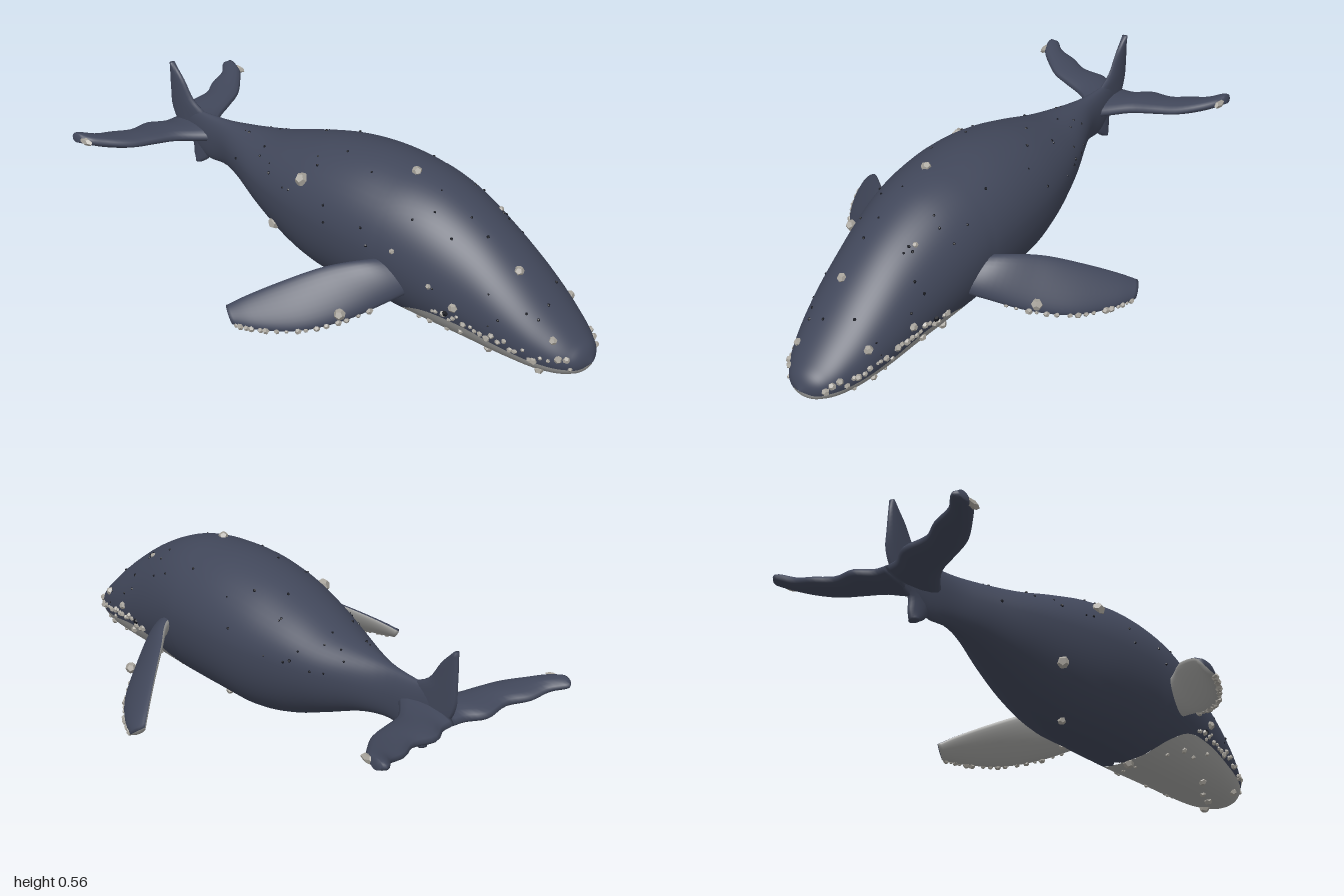
import * as THREE from 'three';
import { mergeGeometries, mergeVertices } from 'three/addons/utils/BufferGeometryUtils.js';

const mat = (name, color) => Object.assign(new THREE.MeshStandardMaterial({ color }), { name });
const V = (x, y, z) => new THREE.Vector3(x, y, z);
const lerp = THREE.MathUtils.lerp;

// Seeded random numbers
let seed = 7;
const rnd = () => (seed = (seed * 16807) % 2147483647) / 2147483647;

// Smooth skin through a list of rings of points
function loft(rings) {
  const n = rings[0].length, idx = [];
  for (let i = 0; i < rings.length - 1; i++) {
    for (let j = 0; j < n - 1; j++) {
      const a = i * n + j, b = a + n;
      idx.push(a, b, a + 1, b, b + 1, a + 1);
    }
  }
  const g = new THREE.BufferGeometry().setFromPoints(rings.flat());
  g.setIndex(idx);
  const merged = mergeVertices(g, 1e-5);
  merged.computeVertexNormals();
  return merged;
}

// Body stations: x, then top, bottom, half width, height of widest point, mouth line
const stations = [
  [-0.80, 0.40, 0.27, 0.012, 0.33, 0.27],
  [-0.70, 0.40, 0.215, 0.026, 0.32, 0.215],
  [-0.60, 0.405, 0.22, 0.042, 0.32, 0.22],
  [-0.50, 0.417, 0.20, 0.08, 0.32, 0.20],
  [-0.35, 0.443, 0.135, 0.143, 0.32, 0.135],
  [-0.20, 0.49, 0.07, 0.19, 0.32, 0.07],
  [-0.05, 0.532, 0.032, 0.222, 0.32, 0.032],
  [0.12, 0.555, 0.028, 0.236, 0.32, 0.028],
  [0.28, 0.55, 0.022, 0.232, 0.31, 0.022],
  [0.36, 0.54, 0.02, 0.225, 0.295, 0.095],
  [0.45, 0.515, 0.02, 0.214, 0.27, 0.145],
  [0.60, 0.44, 0.02, 0.19, 0.22, 0.15],
  [0.75, 0.335, 0.02, 0.165, 0.168, 0.122],
  [0.87, 0.235, 0.025, 0.13, 0.125, 0.1],
  [0.95, 0.165, 0.042, 0.085, 0.105, 0.088],
  [0.985, 0.13, 0.065, 0.045, 0.098, 0.085],
  [1.0, 0.096, 0.094, 0.002, 0.095, 0.0945],
];
const spline = new THREE.CubicInterpolant(
  stations.map((s) => s[0]), stations.flatMap((s) => s.slice(1)), 5);
const section = (x) => [...spline.evaluate(x)];

// Angle round the body, measured up from the keel, at a given height
function angleAt(x, y) {
  const [top, bottom, , mid] = section(x);
  const c = (mid - y) / (y < mid ? mid - bottom : top - mid);
  return Math.acos(THREE.MathUtils.clamp(c, -1, 1));
}
function bodyPoint(x, a) {
  const [top, bottom, w, mid] = section(x), c = Math.cos(a);
  return V(x, mid - c * (c > 0 ? mid - bottom : top - mid), w * Math.sin(a));
}
const onBody = (x, y, side) => bodyPoint(x, side * angleAt(x, y));
const mouthAngle = (x) => (x <= 0.28 ? 0 : angleAt(x, section(x)[4]));

function bodySkin(x0, x1, count, range, segs) {
  const rings = [];
  for (let i = 0; i <= count; i++) {
    const x = lerp(x0, x1, Math.sin((i / count) * Math.PI / 2));
    const [a, b] = range(mouthAngle(x));
    rings.push(Array.from({ length: segs + 1 }, (_, j) => bodyPoint(x, lerp(a, b, j / segs))));
  }
  return loft(rings);
}

// Fin lofted between two edge curves, with a lens section from angle a0 to a1
function blade(edgeA, edgeB, thick, a0, a1) {
  const A = new THREE.CatmullRomCurve3(edgeA), B = new THREE.CatmullRomCurve3(edgeB);
  const N = 28, S = 14, rings = [];
  const centre = (t) => A.getPoint(t).lerp(B.getPoint(t), 0.5);
  for (let i = 0; i <= N; i++) {
    const t = i / N, c = centre(t), half = A.getPoint(t).sub(c);
    const span = centre(Math.min(1, t + 0.01)).sub(centre(Math.max(0, t - 0.01)));
    const n = half.clone().cross(span).normalize().multiplyScalar(lerp(thick[0], thick[1], t) / 2);
    const ring = (k) => Array.from({ length: S + 1 }, (_, j) => {
      const a = lerp(a0, a1, j / S);
      return c.clone().addScaledVector(half, k * Math.cos(a)).addScaledVector(n, k * Math.sin(a));
    });
    if (i === 0) rings.push(ring(0));
    rings.push(ring(1));
    if (i === N) rings.push(ring(0));
  }
  return loft(rings);
}

// Cluster of faceted knobs: each item is [position, radius, stretch]
function knobs(items) {
  return mergeGeometries(items.map(([p, r, s = [1, 1, 1]]) => {
    const g = new THREE.DodecahedronGeometry(r);
    g.rotateX(rnd() * 3).rotateY(rnd() * 3).scale(...s);
    return g.translate(p.x, p.y, p.z);
  }));
}

export function createModel() {
  seed = 7;
  const skin = mat('slate skin', 0x41475a);
  const pale = mat('pale underside', 0xa3a3a1);
  const shell = mat('barnacle grey', 0xa8a49c);
  const black = mat('dark marks', 0x16181f);
  const whale = new THREE.Group();
  whale.name = 'whale';
  const add = (name, geo, material) => {
    const m = new THREE.Mesh(geo, material);
    m.name = name;
    whale.add(m);
  };

  // Body above the mouth line, and the pale throat below it
  add('body', bodySkin(-0.8, 1, 90, (a) => [a, 2 * Math.PI - a], 48), skin);
  add('throat', bodySkin(0.28, 1, 60, (a) => [-a, a], 24), pale);

  // Upright tail keel: y, front x, back x
  const keel = [
    [0.182, -0.735, -0.765], [0.21, -0.70, -0.775], [0.26, -0.68, -0.78], [0.32, -0.68, -0.86],
    [0.38, -0.69, -0.885], [0.43, -0.765, -0.885], [0.50, -0.812, -0.882], [0.555, -0.862, -0.877],
  ];
  add('tailKeel', blade(keel.map(([y, f]) => V(f, y, 0)), keel.map(([y, , b]) => V(b, y, 0)),
    [0.035, 0.022], 0, 2 * Math.PI), skin);

  // Fluke sections: z, leading x, trailing x, y
  const fluke = [
    [0, -0.63, -0.88, 0.315], [0.05, -0.69, -0.885, 0.315], [0.11, -0.745, -0.92, 0.32],
    [0.2, -0.78, -0.912, 0.33], [0.27, -0.805, -0.948, 0.338], [0.34, -0.86, -0.962, 0.352],
    [0.385, -0.905, -0.998, 0.365], [0.403, -0.945, -0.985, 0.37],
  ];
  // Flipper sections: upper edge x, y, z, then lower edge x, y, z
  const flipper = [
    [0.34, 0.29, 0.16, 0.42, 0.20, 0.17], [0.28, 0.30, 0.25, 0.38, 0.18, 0.25],
    [0.18, 0.275, 0.34, 0.30, 0.135, 0.37], [0.08, 0.225, 0.44, 0.20, 0.105, 0.48],
    [-0.01, 0.17, 0.53, 0.08, 0.097, 0.56], [-0.05, 0.14, 0.57, 0.0, 0.10, 0.595],
  ];
  const barnacles = [], marks = [];

  for (const s of [1, -1]) {
    const side = s > 0 ? 'Front' : 'Back';
    add('fluke' + side, blade(fluke.map(([z, f, , y]) => V(f, y, z * s)),
      fluke.map(([z, , b, y]) => V(b, y, z * s)), [0.06, 0.034], 0, 2 * Math.PI), skin);

    // Flipper with a dark outer face and a pale inner face
    const up = flipper.map((p) => V(p[0], p[1], p[2] * s));
    const low = flipper.map((p) => V(p[3], p[4], p[5] * s));
    const start = s > 0 ? 0 : Math.PI;
    add('flipper' + side, blade(up, low, [0.06, 0.03], start, start + Math.PI), skin);
    add('flipperUnderside' + side, blade(up, low, [0.06, 0.03], start + Math.PI, start + 2 * Math.PI), pale);

    // Knobs on the flipper's lower edge
    const edge = new THREE.CatmullRomCurve3(low);
    for (let i = 0; i < 16; i++) {
      barnacles.push([edge.getPoint(0.3 + 0.7 * (i + rnd() * 0.5) / 16), 0.007 + rnd() * 0.007]);
    }
    barnacles.push([V(0.29, 0.165, 0.395 * s), 0.02]);

    // Knobs along the lips, brow and throat
    for (let i = 0; i < 24; i++) {
      const x = 0.5 + 0.48 * (i + rnd() * 0.6) / 24;
      barnacles.push([onBody(x, section(x)[4] + 0.006 + rnd() * 0.035, s), 0.006 + rnd() * 0.008]);
    }
    for (let i = 0; i < 9; i++) {
      const x = 0.34 + 0.066 * i;
      barnacles.push([bodyPoint(x, s * mouthAngle(x) * (0.15 + rnd() * 0.8)), 0.007 + rnd() * 0.01]);
    }

    // Pale crusts on the fluke tips, and the eyes
    barnacles.push([V(-0.925, 0.364, 0.393 * s), 0.018, [2, 0.8, 0.7]]);
    marks.push([onBody(0.56, 0.185, s), 0.011]);
    for (let i = 0; i < 30; i++) {
      marks.push([bodyPoint(-0.5 + rnd() * 1.35, s * (1.6 + rnd() * 1.4)), 0.003 + rnd() * 0.003]);
    }
  }

  // Larger single barnacles: x, y, side, radius
  for (const [x, y, s, r] of [
    [-0.06, 0.44, 1, 0.025], [-0.22, 0.19, 1, 0.022], [0.31, 0.545, 1, 0.018], [0.73, 0.345, 1, 0.017],
    [0.59, 0.22, 1, 0.017], [0.5, 0.27, 1, 0.01], [0.36, 0.35, 1, 0.01], [0.82, 0.2, -1, 0.016],
    [0.9, 0.18, 1, 0.014], [0.66, 0.21, -1, 0.015], [0.55, 0.43, -1, 0.01], [0.3, 0.024, 1, 0.02],
    [0.87, 0.028, -1, 0.02], [0.1, 0.06, -1, 0.014], [-0.1, 0.05, 1, 0.015],
  ]) barnacles.push([onBody(x, y, s), r]);

  add('barnacles', knobs(barnacles), shell);
  add('eyesAndMarks', knobs(marks), black);
  return whale;
}
